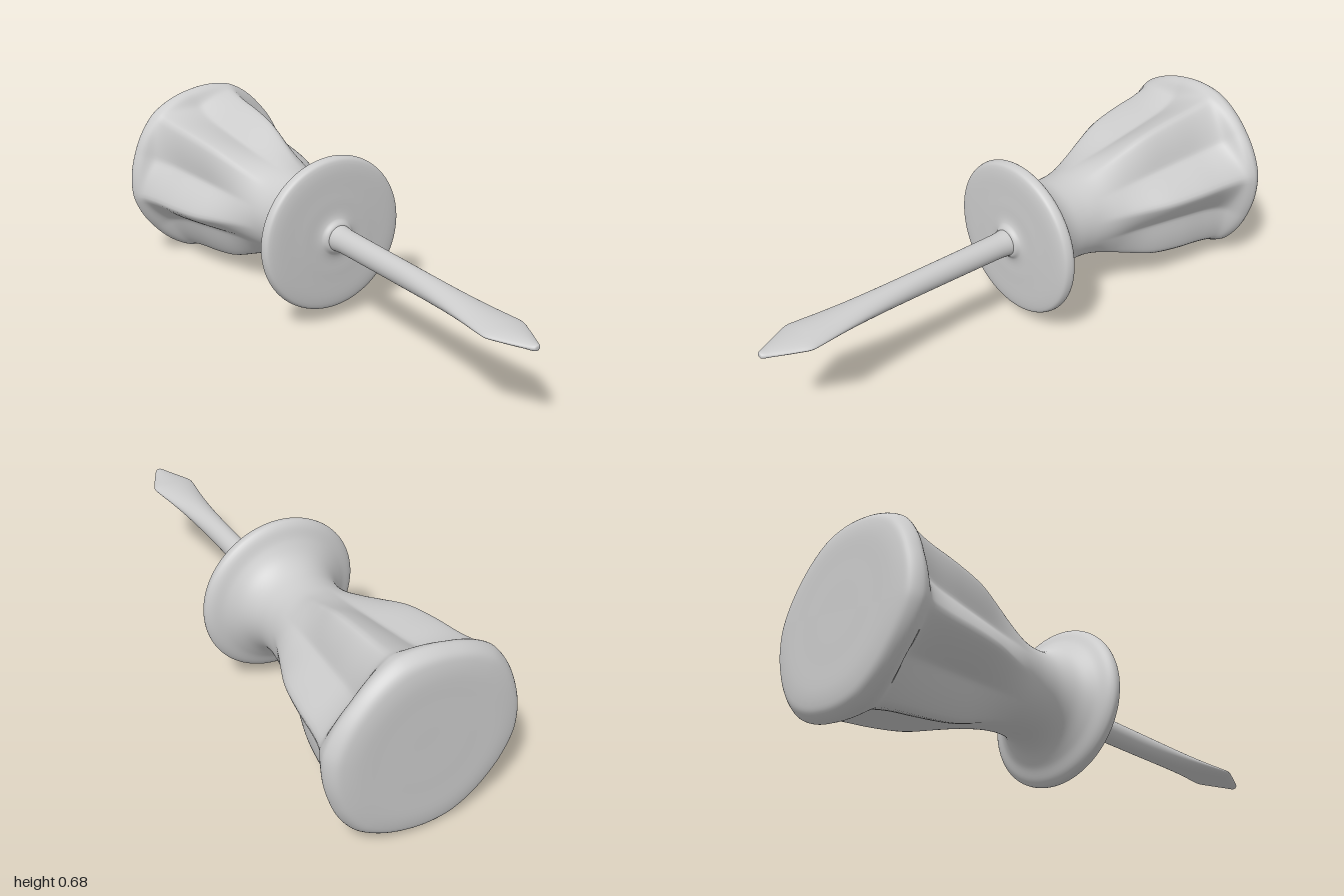
import * as THREE from 'three';
import { mergeVertices } from 'three/addons/utils/BufferGeometryUtils.js';

const AXIS_Y = 0.347;

// Skins a smooth tube along z. Each control row is [a, b, z]; outline(angle, a, b) gives the section's [x, y].
function loft(rows, steps, segs, outline) {
  const curve = new THREE.CatmullRomCurve3(rows.map((r) => new THREE.Vector3(...r)));
  const pos = [];
  const index = [];
  for (let i = 0; i <= steps; i++) {
    const p = curve.getPoint(i / steps);
    for (let j = 0; j < segs; j++) {
      const [x, y] = outline((j / segs) * Math.PI * 2, Math.max(p.x, 0), Math.max(p.y, 0));
      pos.push(x, y, p.z);
      if (i === steps) continue;
      const a = i * segs + j;
      const b = i * segs + ((j + 1) % segs);
      index.push(a, b, b + segs, a, b + segs, a + segs);
    }
  }
  let geo = new THREE.BufferGeometry();
  geo.setAttribute('position', new THREE.Float32BufferAttribute(pos, 3));
  geo.setIndex(index);
  geo = mergeVertices(geo, 1e-5);
  geo.computeVertexNormals();
  return geo;
}

// Six ridges at radius "ridge" with hollow flutes between them at radius "valley"
function flutedOutline(angle, ridge, valley) {
  const sector = Math.PI / 3;
  const u = (angle - THREE.MathUtils.degToRad(11)) / sector;
  const t = Math.abs(u - Math.round(u)) * 2;
  const w = Math.pow(1 - Math.sqrt(t * t + 0.004) / Math.sqrt(1.004), 1.35);
  const r = valley + (ridge - valley) * w;
  return [r * Math.cos(angle), r * Math.sin(angle)];
}

// Ellipse whose sides sharpen as it becomes wide and thin
function bladeOutline(angle, halfWidth, halfHeight) {
  const s = Math.sin(angle);
  const flat = halfWidth > 0 ? Math.min(halfHeight / halfWidth, 1) : 1;
  return [halfWidth * Math.cos(angle), halfHeight * s * (flat + (1 - flat) * (0.6 + 0.4 * Math.abs(s)))];
}

export function createModel() {
  const group = new THREE.Group();
  group.name = 'screwdriver';
  const material = new THREE.MeshStandardMaterial({ color: 0xcccccc });

  const add = (name, geometry) => {
    const mesh = new THREE.Mesh(geometry, material);
    mesh.name = name;
    mesh.position.y = AXIS_Y;
    group.add(mesh);
  };

  // Handle: butt, fluted grip, waist and round front flange [ridge, valley, z]
  add('handle', loft([
    [0, 0, -0.995],
    [0.16, 0.16, -0.995],
    [0.285, 0.28, -0.992],
    [0.328, 0.32, -0.978],
    [0.348, 0.337, -0.945],
    [0.345, 0.325, -0.92],
    [0.333, 0.275, -0.885],
    [0.32, 0.245, -0.82],
    [0.304, 0.222, -0.7],
    [0.278, 0.203, -0.58],
    [0.235, 0.188, -0.48],
    [0.198, 0.178, -0.4],
    [0.167, 0.165, -0.32],
    [0.158, 0.158, -0.25],
    [0.163, 0.163, -0.19],
    [0.186, 0.186, -0.14],
    [0.23, 0.23, -0.1],
    [0.277, 0.277, -0.075],
    [0.29, 0.29, -0.058],
    [0.285, 0.285, -0.035],
    [0.265, 0.265, -0.025],
    [0.15, 0.15, -0.018],
    [0.07, 0.07, -0.012],
    [0.05, 0.05, 0.005],
    [0, 0, 0.01],
  ], 144, 144, flutedOutline));

  // Shaft flattening into a pointed flat blade [half width, half height, z]
  add('shaftAndBlade', loft([
    [0, 0, -0.03],
    [0.046, 0.046, -0.03],
    [0.044, 0.045, 0.05],
    [0.041, 0.044, 0.25],
    [0.042, 0.042, 0.42],
    [0.052, 0.036, 0.6],
    [0.066, 0.029, 0.73],
    [0.078, 0.024, 0.82],
    [0.08, 0.021, 0.855],
    [0.062, 0.018, 0.9],
    [0.03, 0.013, 0.965],
    [0.012, 0.009, 0.997],
    [0, 0, 1],
  ], 96, 48, bladeOutline));

  return group;
}
